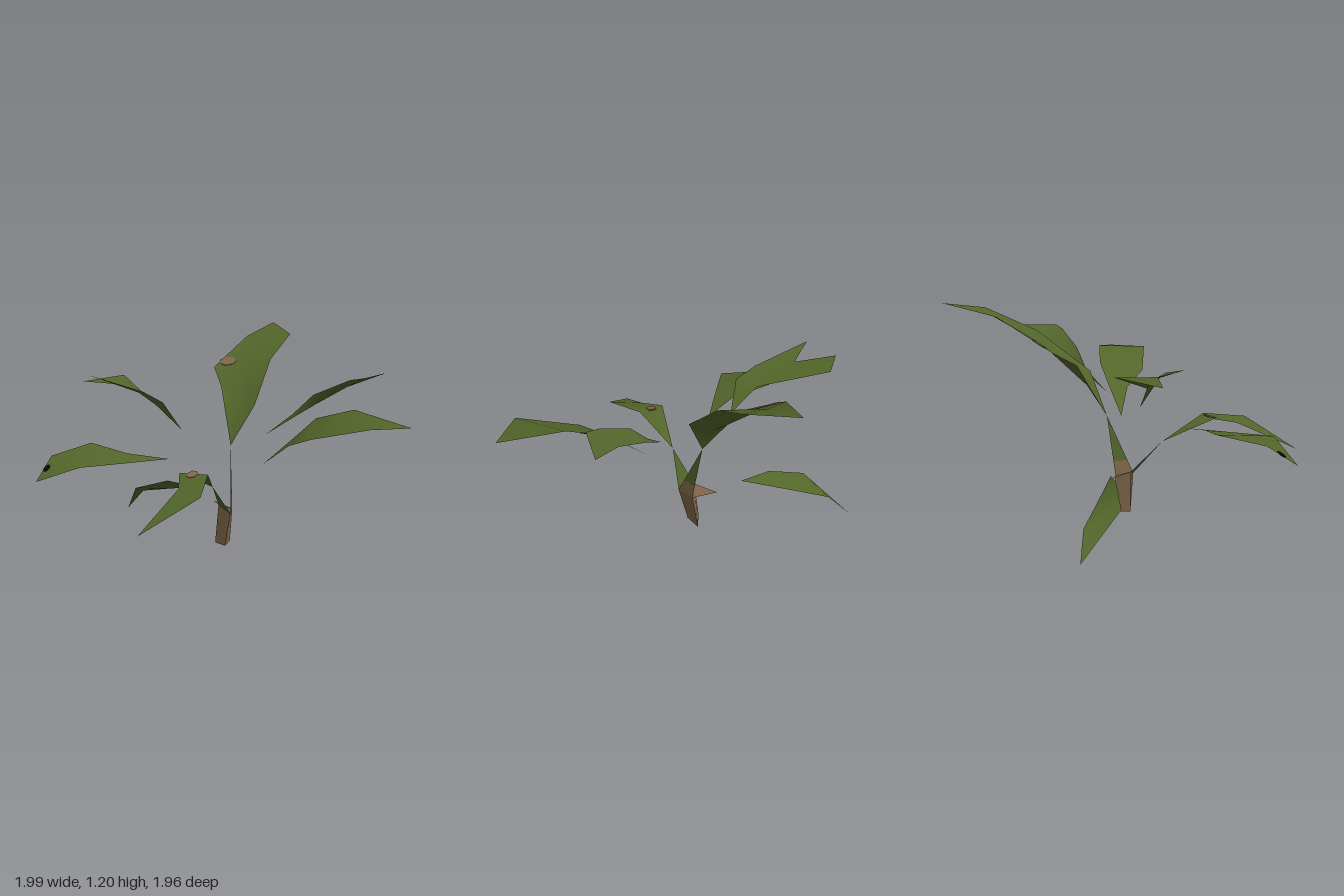
import * as THREE from 'three';
import { mergeVertices } from 'three/addons/utils/BufferGeometryUtils.js';

const green = new THREE.MeshStandardMaterial({ color: 0x53662a, side: THREE.DoubleSide });
green.name = 'leafGreen';
const brown = new THREE.MeshStandardMaterial({ color: 0x80664a, side: THREE.DoubleSide });
brown.name = 'stemBrown';
const black = new THREE.MeshStandardMaterial({ color: 0x0a0b07, side: THREE.DoubleSide });
black.name = 'rotBlack';

const V = (p) => new THREE.Vector3(...p);
const mix = (a, b, t) => V(a).lerp(V(b), t).toArray();

// Sheet spanned between columns of points; every triangle is turned to face up
function sheet(columns) {
  const pos = [];
  const tri = (a, b, c) => {
    const n = V(b).sub(V(a)).cross(V(c).sub(V(a)));
    if (n.length() < 1e-7) return;
    pos.push(...a, ...(n.y < 0 ? [...c, ...b] : [...b, ...c]));
  };
  for (let c = 0; c + 1 < columns.length; c++) {
    const l = columns[c], r = columns[c + 1];
    for (let i = 0; i + 1 < l.length; i++) {
      tri(l[i], r[i], l[i + 1]);
      tri(r[i], r[i + 1], l[i + 1]);
    }
  }
  let geo = new THREE.BufferGeometry();
  geo.setAttribute('position', new THREE.Float32BufferAttribute(pos, 3));
  geo = mergeVertices(geo, 1e-4);
  geo.computeVertexNormals();
  return geo;
}

// Thin spot lying on the triangle a, b, c at weights w
function spot(name, material, [a, b, c], w, rx, rz, lift = 0) {
  const mesh = new THREE.Mesh(new THREE.CylinderGeometry(1, 1, 0.006, 7), material);
  mesh.name = name;
  const n = V(b).sub(V(a)).cross(V(c).sub(V(a))).normalize();
  if (n.y < 0) n.negate();
  mesh.quaternion.setFromUnitVectors(new THREE.Vector3(0, 1, 0), n);
  mesh.position.copy(V(a).multiplyScalar(w[0]))
    .addScaledVector(V(b), w[1]).addScaledVector(V(c), w[2]).addScaledVector(n, lift);
  mesh.scale.set(rx, 1, rz);
  return mesh;
}

export function createModel() {
  const group = new THREE.Group();
  const add = (name, geo, material) => {
    const mesh = new THREE.Mesh(geo, material);
    mesh.name = name;
    group.add(mesh);
  };

  // Leaning three-sided trunk
  const top = [[-0.11, 0.235, 0.01], [-0.025, 0.2, 0.045], [-0.055, 0.2, -0.065]];
  const foot = [[-0.135, 0.01, 0], [-0.07, 0, 0.015], [-0.08, 0, -0.09]];
  const walls = [...foot[0], ...foot[2], ...foot[1]];
  for (let i = 0; i < 3; i++) {
    const j = (i + 1) % 3;
    walls.push(...foot[i], ...foot[j], ...top[j], ...foot[i], ...top[j], ...top[i]);
  }
  const trunk = new THREE.BufferGeometry();
  trunk.setAttribute('position', new THREE.Float32BufferAttribute(walls, 3));
  trunk.computeVertexNormals();
  add('trunk', trunk, brown);

  // Stalks growing from the three top edges
  const backBase = [-0.085, 0.555, -0.12], frontBase = [-0.07, 0.385, 0.2];
  const spike = [-0.19, 0.225, -0.115];
  const low = [mix(top[1], backBase, 0.24), mix(top[2], backBase, 0.24)];
  add('backStalkFoot', sheet([[top[1], low[0]], [top[2], low[1]]]), brown);
  add('backStalk', sheet([[low[0], backBase], [low[1], backBase]]), green);
  add('frontStalk', sheet([[top[0], frontBase], [top[1], frontBase]]), green);
  add('brokenStalk', sheet([[top[0], spike], [top[2], spike]]), brown);

  // Leaves, each given by its edges (and midrib) from base to tip
  const backTip = [-0.115, 1.2, -0.985], frontTip = [-0.148, 0.31, 0.978];
  const rightBase = [0.155, 0.49, 0.02], rightTip = [0.995, 0.765, 0.155];
  const slimBase = [0.14, 0.64, -0.07];
  const wideBase = [-0.32, 0.525, 0.215];
  const lowBase = [-0.325, 0.285, -0.155], lowTip = [-0.903, 0.04, -0.44];
  const splitBase = [-0.335, 0.65, 0];
  const leaves = {
    backLeaf: [
      [backBase, [-0.215, 0.865, -0.31], [-0.32, 0.96, -0.465], [-0.2, 1.13, -0.72], backTip],
      [backBase, [-0.09, 0.73, -0.23], [-0.13, 0.965, -0.47], [-0.09, 1.13, -0.74], backTip],
      [backBase, [0.037, 0.785, -0.185], [0.036, 1.02, -0.475], [0.072, 1.148, -0.745], backTip],
    ],
    frontLeaf: [
      [frontBase, [-0.145, 0.515, 0.475], [-0.082, 0.47, 0.635], frontTip],
      [frontBase, [0.01, 0.515, 0.465], [0.083, 0.465, 0.745], frontTip],
    ],
    leftLeaf: [
      [rightBase, [0.34, 0.66, -0.02], [0.44, 0.755, -0.04], [0.66, 0.82, 0.005], rightTip],
      [rightBase, [0.33, 0.62, 0.1], [0.49, 0.688, 0.235], [0.82, 0.775, 0.333], rightTip],
    ],
    leftBackLeaf: [
      [slimBase, [0.27, 0.75, -0.16], [0.38, 0.86, -0.19], [0.575, 0.945, -0.24], [0.657, 0.957, -0.26]],
      [slimBase, [0.28, 0.735, -0.17], [0.38, 0.8, -0.25], [0.53, 0.89, -0.36], [0.72, 0.96, -0.513]],
    ],
    rightFrontLeaf: [
      [wideBase, [-0.535, 0.557, 0.295], [-0.77, 0.595, 0.265], [-0.895, 0.555, 0.485]],
      [wideBase, [-0.48, 0.53, 0.42], [-0.645, 0.535, 0.625], [-0.895, 0.445, 0.652]],
    ],
    rightBackLeaf: [
      [lowBase, [-0.505, 0.305, -0.17], [-0.73, 0.235, -0.198], lowTip],
      [lowBase, [-0.55, 0.228, -0.275], [-0.775, 0.17, -0.397], lowTip],
    ],
    splitRightLeaf: [
      [splitBase, [-0.415, 0.815, 0.08], [-0.54, 0.87, 0.078], [-0.883, 0.947, 0.07]],
      [splitBase, [-0.46, 0.79, 0.01], [-0.6, 0.85, 0], [-0.74, 0.89, -0.02]],
      [splitBase, [-0.5, 0.785, -0.008], [-0.82, 0.915, -0.255], [-0.995, 0.89, -0.068]],
    ],
  };
  for (const [name, columns] of Object.entries(leaves)) add(name, sheet(columns), green);

  // Withered spots
  const { backLeaf: b, frontLeaf: f, leftLeaf: l, rightFrontLeaf: r } = leaves;
  group.add(
    spot('backLeafSpot', brown, [b[0][2], b[0][3], b[1][2]], [0.56, 0.18, 0.26], 0.055, 0.04),
    spot('frontLeafSpot', brown, [f[0][1], f[1][1], f[0][2]], [0.5, 0.45, 0.05], 0.028, 0.04),
    spot('rightFrontLeafSpot', black, [r[0][3], r[1][3], r[1][2]], [0.47, 0.45, 0.08], 0.02, 0.027),
    spot('leftLeafSpot', black, [l[0][2], l[0][3], l[1][2]], [0.45, 0.4, 0.15], 0.045, 0.022, -0.004),
  );
  return group;
}
